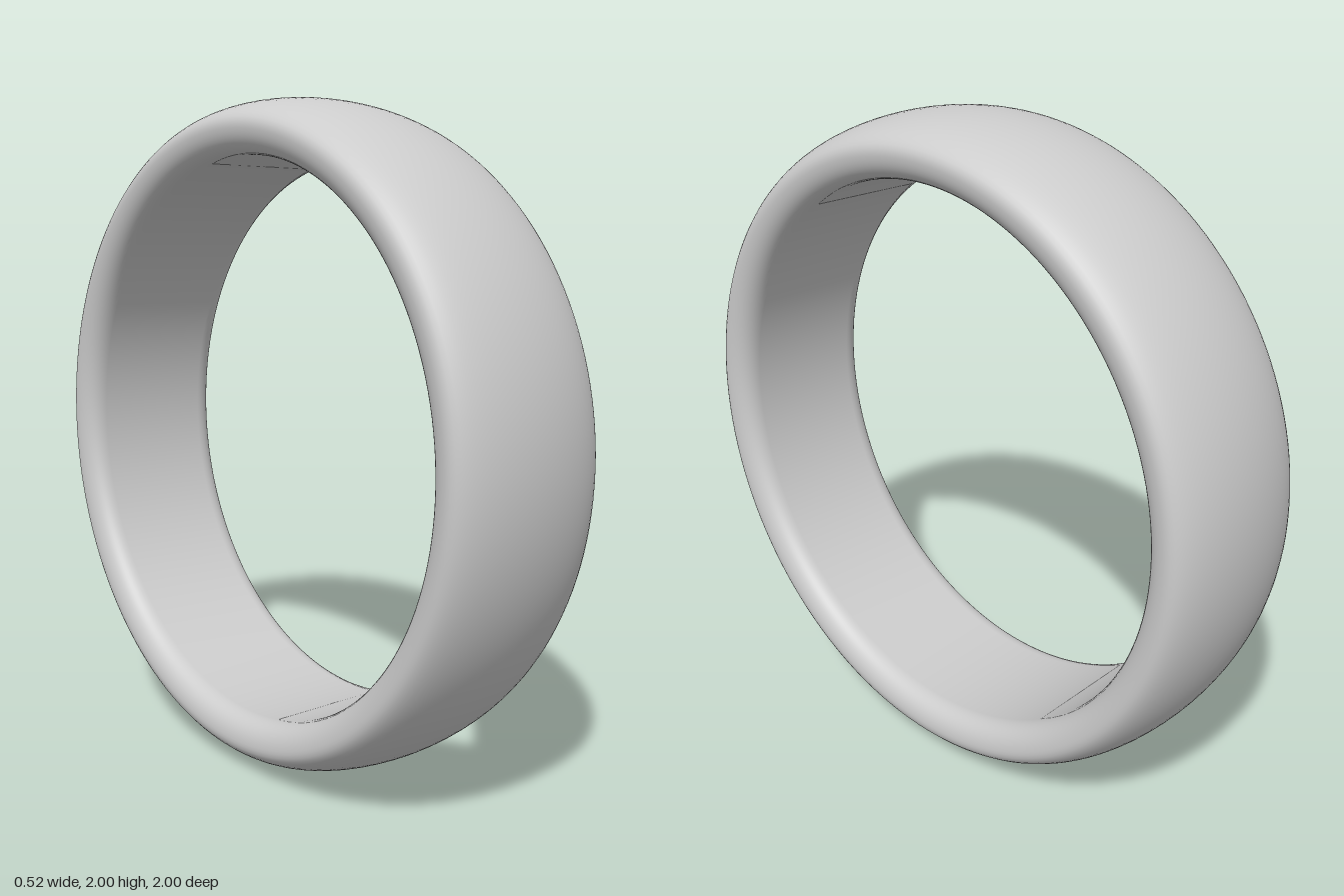
import * as THREE from 'three';

export function createModel() {
  const group = new THREE.Group();
  group.name = 'ring';

  const inner = 0.83, outer = 1, half = 0.262, edge = 0.91;

  // Cross-section (radius, width): flat bore, rounded rims, domed outside
  const section = new THREE.Path();
  section.moveTo(inner, 0);
  section.lineTo(inner, -0.19);
  section.bezierCurveTo(inner, -0.235, 0.865, -half, edge, -half);
  section.bezierCurveTo(0.965, -half, outer, -0.13, outer, 0);
  section.bezierCurveTo(outer, 0.13, 0.965, half, edge, half);
  section.bezierCurveTo(0.865, half, inner, 0.235, inner, 0.19);
  section.lineTo(inner, 0);

  // Band spun around the x axis
  const geometry = new THREE.LatheGeometry(section.getPoints(14), 160);
  geometry.rotateZ(-Math.PI / 2);

  const band = new THREE.Mesh(geometry, new THREE.MeshStandardMaterial({ color: 0xcccccc }));
  band.name = 'band';
  band.position.y = outer;
  group.add(band);
  return group;
}
